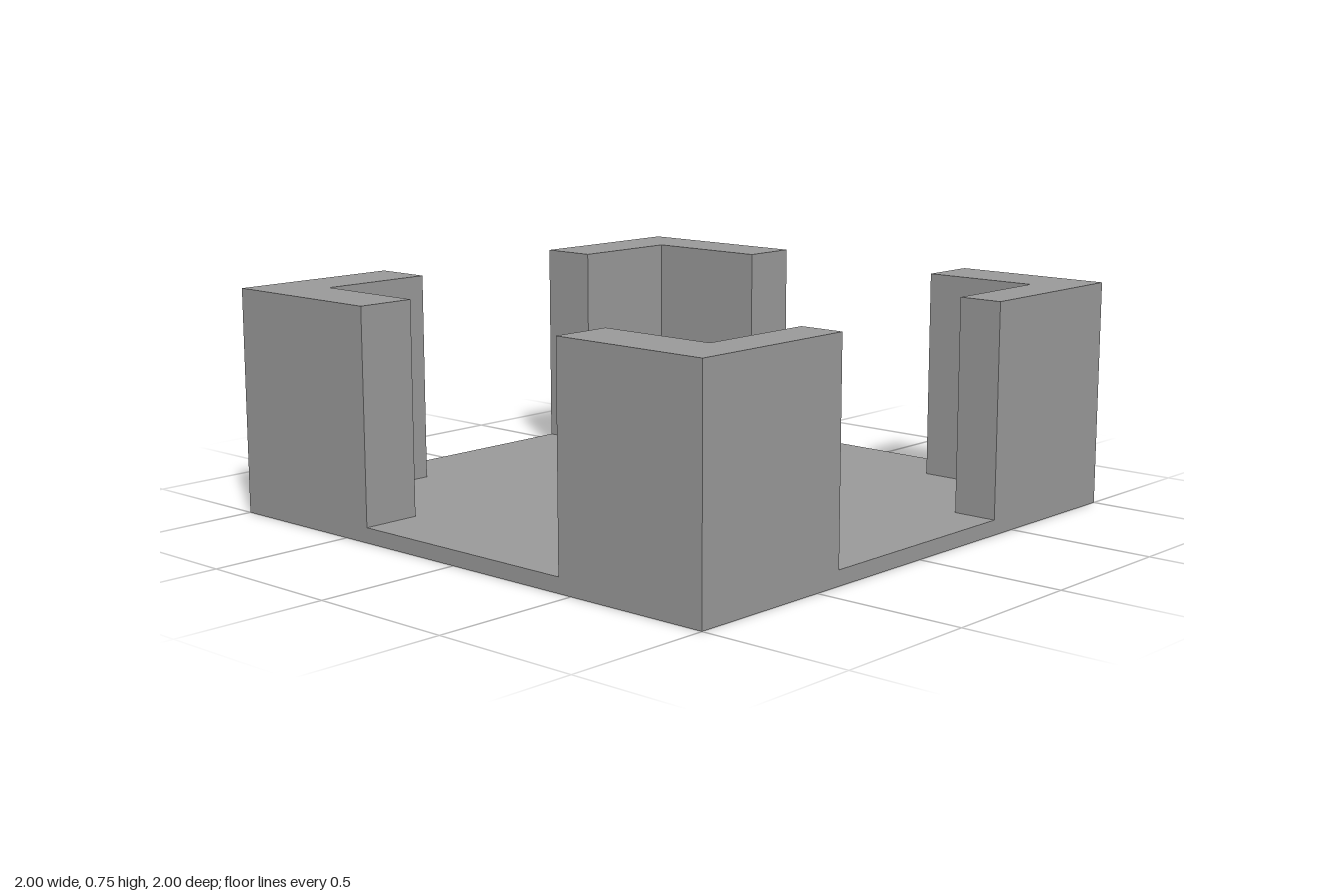
import * as THREE from 'three';

const BASE_HEIGHT = 0.05;
const TOP = 0.75;

export function createModel() {
  const model = new THREE.Group();
  model.name = 'corneredTray';
  const grey = new THREE.MeshStandardMaterial({ color: 0x999999 });
  grey.name = 'grey';

  // Square floor plate
  const base = new THREE.Mesh(new THREE.BoxGeometry(2, BASE_HEIGHT, 2), grey);
  base.name = 'basePlate';
  base.position.y = BASE_HEIGHT / 2;
  model.add(base);

  // L-shaped corner wall: sx, sz pick the corner; endX, endZ are where its arms
  // stop; innerX is the inner face of the side arm
  function addCorner(name, sx, sz, endX, endZ, innerX) {
    const innerZ = 0.8;
    const outline = [[1, 1], [endX, 1], [endX, innerZ], [innerX, innerZ], [innerX, endZ], [1, endZ]];
    const shape = new THREE.Shape(outline.map(([x, z]) => new THREE.Vector2(sx * x, -sz * z)));
    const geometry = new THREE.ExtrudeGeometry(shape, { depth: TOP - BASE_HEIGHT, bevelEnabled: false });
    geometry.rotateX(-Math.PI / 2);
    const wall = new THREE.Mesh(geometry, grey);
    wall.name = name;
    wall.position.y = BASE_HEIGHT;
    model.add(wall);
  }

  addCorner('frontLeftCorner', 1, 1, 0.45, 0.4, 0.85);
  addCorner('backLeftCorner', 1, -1, 0.45, 0.4, 0.85);
  addCorner('frontRightCorner', -1, 1, 0.4, 0.4, 0.8);
  addCorner('backRightCorner', -1, -1, 0.35, 0.4, 0.8);

  return model;
}
